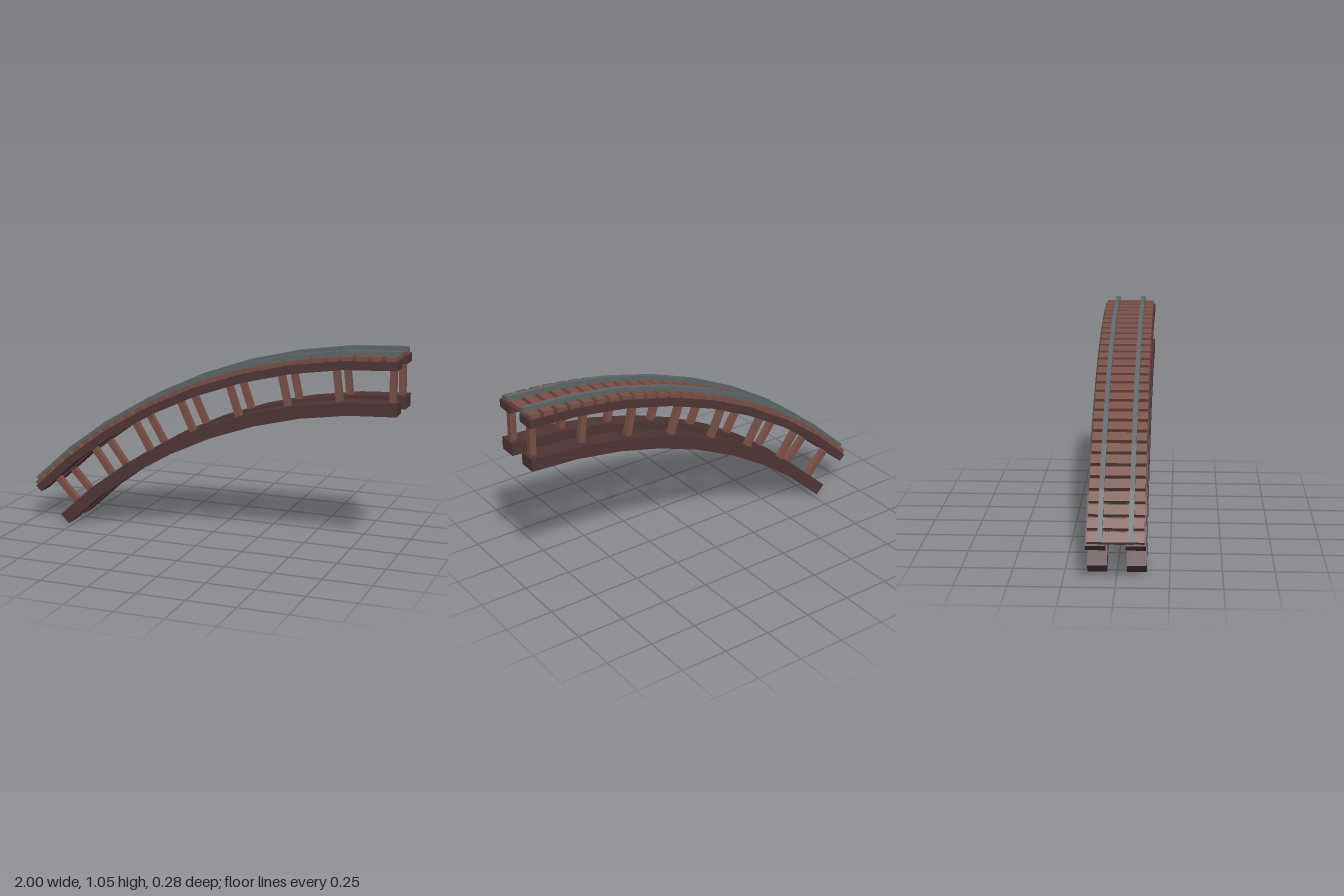
import * as THREE from 'three';

const SWEEP = Math.PI / 4;   // the track climbs through an eighth of a circle
const SEGMENTS = 8;
const CX = 1, CY = -1.778;   // centre of the arc

const mat = (color) => new THREE.MeshStandardMaterial({ color, flatShading: true });

// point on the arc, angle measured from the crest towards -x
const arcPoint = (r, a) => new THREE.Vector2(CX - r * Math.sin(a), CY + r * Math.cos(a));

// faceted curved bar between two heights (given at the crest)
function arcBar(name, bottom, top, width, z, material) {
  const outer = [], inner = [];
  for (let i = 0; i <= SEGMENTS; i++) {
    const a = (SWEEP * i) / SEGMENTS;
    outer.push(arcPoint(top - CY, a));
    inner.unshift(arcPoint(bottom - CY, a));
  }
  const geo = new THREE.ExtrudeGeometry(new THREE.Shape([...outer, ...inner]), { depth: width, bevelEnabled: false });
  geo.translate(0, 0, z - width / 2);
  const mesh = new THREE.Mesh(geo, material);
  mesh.name = name;
  return mesh;
}

// box turned to stand square on the arc
function arcBox(name, bottom, top, length, width, a, z, material) {
  const mesh = new THREE.Mesh(new THREE.BoxGeometry(length, top - bottom, width), material);
  const p = arcPoint((bottom + top) / 2 - CY, a);
  mesh.position.set(p.x, p.y, z);
  mesh.rotation.z = a;
  mesh.name = name;
  return mesh;
}

export function createModel() {
  const model = new THREE.Group();
  model.name = 'curvedTrack';
  const beamMat = mat(0x4e3636), woodMat = mat(0x764f47), railMat = mat(0x5c6668);

  for (const [side, s] of [['left', 1], ['right', -1]]) {
    // side beams and rail
    model.add(arcBar(side + 'LowerBeam', 0.738, 0.803, 0.094, s * 0.094, beamMat));
    model.add(arcBar(side + 'UpperBeam', 0.965, 1.008, 0.094, s * 0.094, beamMat));
    model.add(arcBar(side + 'Rail', 1.024, 1.05, 0.023, s * 0.072, railMat));

    // posts between the beams
    const posts = new THREE.Group();
    posts.name = side + 'Posts';
    for (let i = 0; i < 8; i++) {
      const a = THREE.MathUtils.degToRad(0.65 + 6 * i);
      posts.add(arcBox('post', 0.795, 0.97, 0.032, 0.032, a, s * 0.092, woodMat));
    }
    model.add(posts);
  }

  // cross ties
  const ties = new THREE.Group();
  ties.name = 'ties';
  const count = 30;
  for (let i = 0; i < count; i++) {
    ties.add(arcBox('tie', 1.004, 1.027, 0.053, 0.266, (SWEEP * (i + 0.5)) / count, 0, woodMat));
  }
  model.add(ties);
  return model;
}
